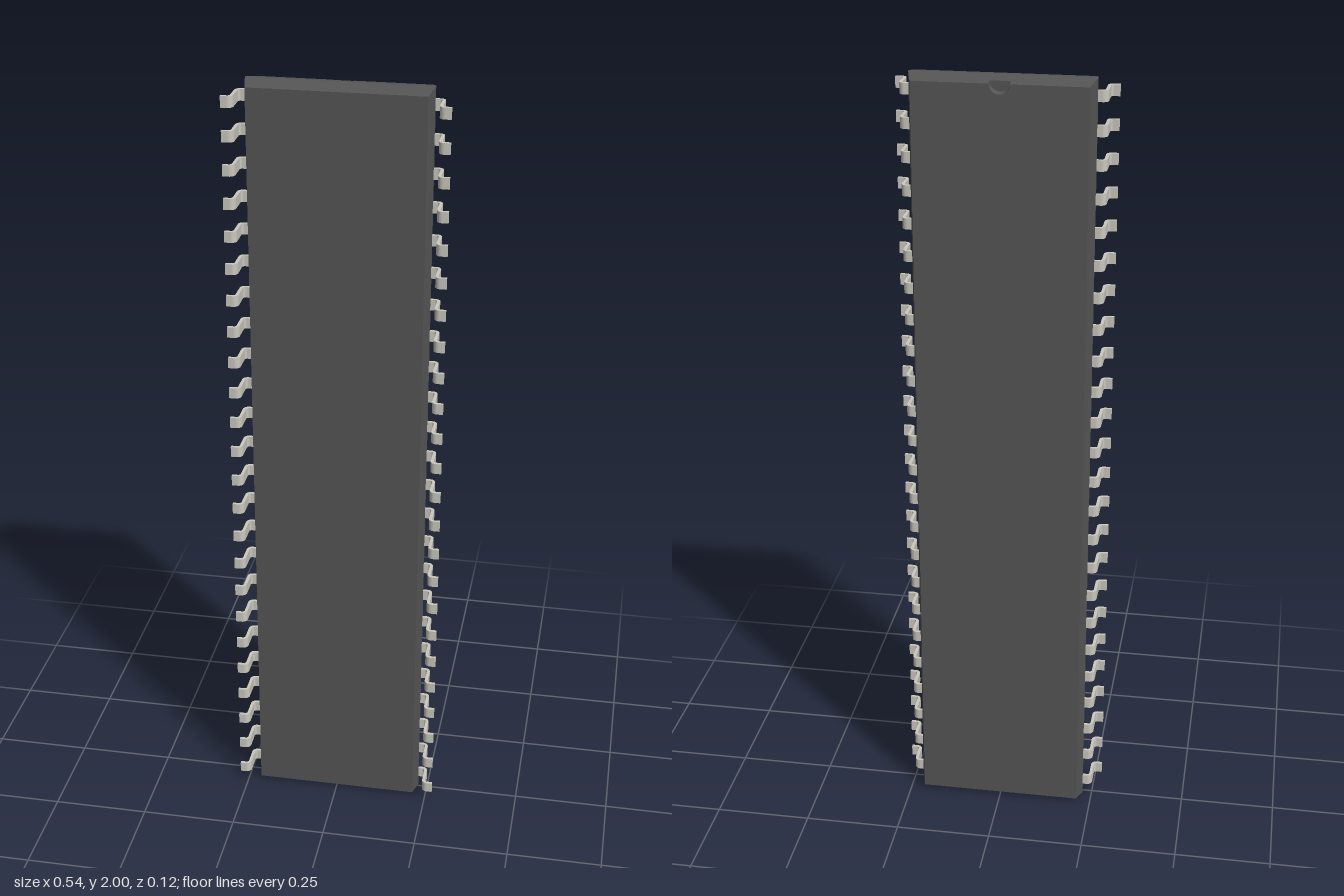
import * as THREE from 'three';

const bodyMat = new THREE.MeshStandardMaterial({ color: 0x555555, flatShading: true });
const pinMat = new THREE.MeshStandardMaterial({ color: 0xcac8be });

const PINS = 24, PITCH = 0.0832, PIN_W = 0.028, T = 0.008;

// Closed solid through rectangular sections [z, halfX, halfY], ordered back to front
function loft(sections) {
  const pos = [], idx = [];
  for (const [z, x, y] of sections) pos.push(-x, -y, z, x, -y, z, x, y, z, -x, y, z);
  for (let s = 0; s < sections.length - 1; s++) {
    for (let i = 0; i < 4; i++) {
      const a = s * 4 + i, b = s * 4 + (i + 1) % 4;
      idx.push(a, b, b + 4, a, b + 4, a + 4);
    }
  }
  const e = (sections.length - 1) * 4;
  idx.push(0, 2, 1, 0, 3, 2, e, e + 1, e + 2, e, e + 2, e + 3);
  const geo = new THREE.BufferGeometry();
  geo.setAttribute('position', new THREE.Float32BufferAttribute(pos, 3));
  geo.setIndex(idx);
  const flat = geo.toNonIndexed();
  flat.computeVertexNormals();
  return flat;
}

// Thin slab with a half-round notch in its top edge, tapering towards the back
function notchedSlab(zBack, zFront, back, front, r) {
  const [x, y] = front;
  const s = new THREE.Shape();
  s.moveTo(-x, -y);
  s.lineTo(x, -y);
  s.lineTo(x, y);
  s.lineTo(r, y);
  s.absarc(0, y, r, 0, Math.PI, true);
  s.lineTo(-x, y);
  s.closePath();
  const geo = new THREE.ExtrudeGeometry(s, { depth: zFront - zBack, bevelEnabled: false, curveSegments: 16 });
  geo.translate(0, 0, zBack);
  const p = geo.attributes.position;
  for (let i = 0; i < p.count; i++) {
    if (p.getZ(i) < (zBack + zFront) / 2) {
      // keep the notch width, shrink only the outer sides
      const px = p.getX(i);
      p.setX(i, Math.abs(px) > r * 1.5 ? px * back[0] / x : px);
      p.setY(i, p.getY(i) * back[1] / y);
    }
  }
  geo.computeVertexNormals();
  return geo;
}

// Gull-wing pin: profile drawn in x and z, extruded along the body
function pinGeometry() {
  const R = 0.014, r = R - T;
  const top = -0.012, foot = 0.06, leg = 0.25, end = 0.271, q = Math.PI / 2;
  const s = new THREE.Shape();
  s.moveTo(0.21, top);
  s.lineTo(leg - R, top);
  s.absarc(leg - R, top + R, R, -q, 0, false);
  s.lineTo(leg, foot - R);
  s.absarc(leg + r, foot - R, r, Math.PI, q, true);
  s.lineTo(end, foot - T);
  s.lineTo(end, foot);
  s.lineTo(leg + r, foot);
  s.absarc(leg + r, foot - R, R, q, Math.PI, false);
  s.lineTo(leg - T, top + R);
  s.absarc(leg - R, top + R, r, 0, -q, true);
  s.lineTo(0.21, top + T);
  s.closePath();
  const geo = new THREE.ExtrudeGeometry(s, { depth: PIN_W, bevelEnabled: false, curveSegments: 5 });
  geo.translate(0, 0, -PIN_W / 2);
  geo.rotateX(Math.PI / 2);
  return geo;
}

export function createModel() {
  const model = new THREE.Group();
  model.name = 'integratedCircuit';

  // Moulded case, widest along a narrow band at pin level
  const body = new THREE.Group();
  body.name = 'body';
  const main = new THREE.Mesh(loft([
    [-0.045, 0.216, 0.992],
    [-0.012, 0.225, 1],
    [-0.004, 0.225, 1],
    [0.0465, 0.215, 0.99],
  ]), bodyMat);
  main.name = 'case';
  const slab = new THREE.Mesh(notchedSlab(-0.061, -0.045, [0.212, 0.988], [0.216, 0.992], 0.025), bodyMat);
  slab.name = 'notchedFace';
  body.add(main, slab);
  body.position.y = 1;
  model.add(body);

  // One row of pins on each long side
  const geo = pinGeometry();
  for (const side of ['left', 'right']) {
    const row = new THREE.Group();
    row.name = side + 'Pins';
    for (let i = 0; i < PINS; i++) {
      const pin = new THREE.Mesh(geo, pinMat);
      pin.name = 'pin';
      pin.position.y = (i - (PINS - 1) / 2) * PITCH;
      row.add(pin);
    }
    row.position.y = 1;
    if (side === 'right') row.rotation.z = Math.PI;
    model.add(row);
  }
  return model;
}
